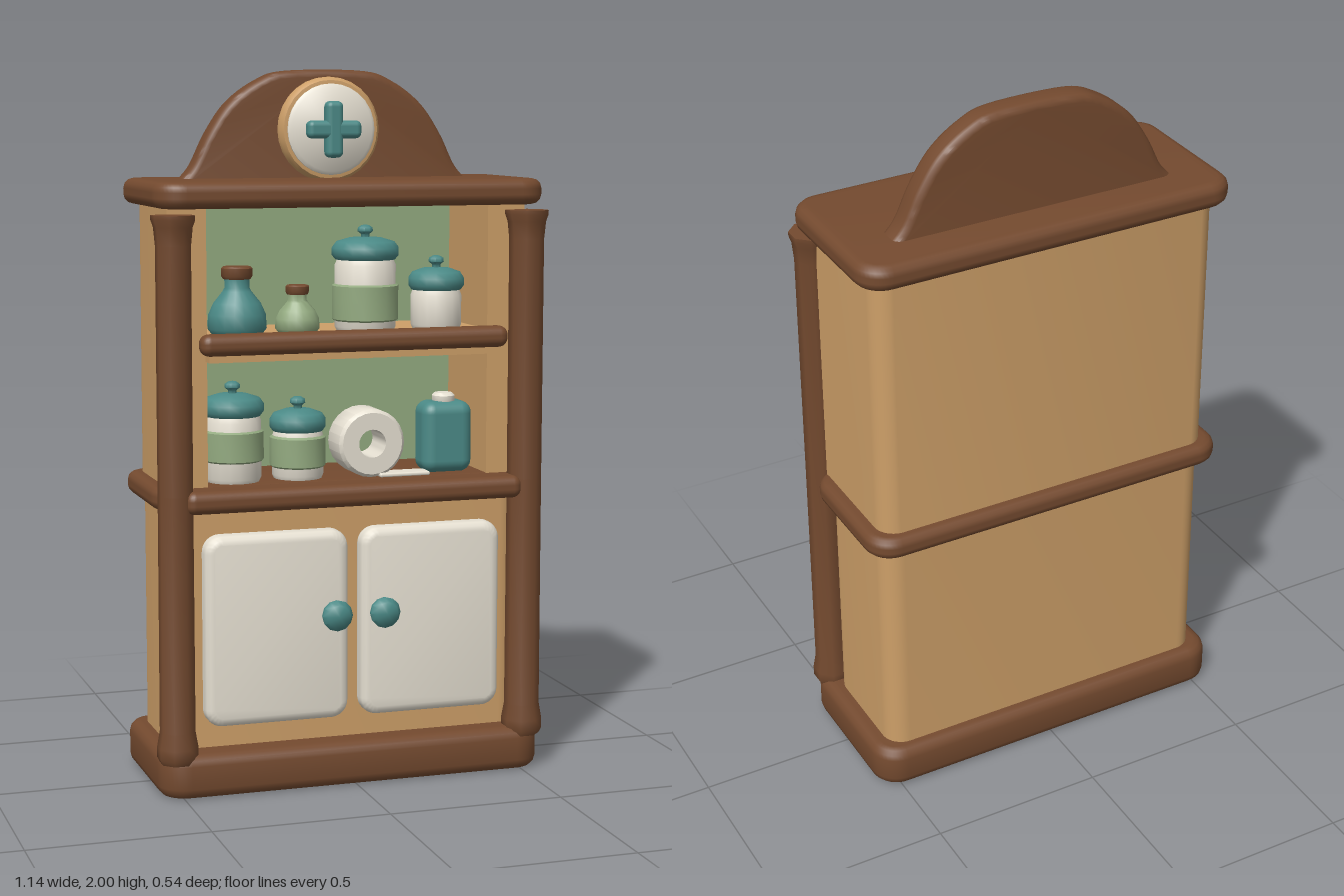
import * as THREE from 'three';
import { toCreasedNormals } from 'three/addons/utils/BufferGeometryUtils.js';
import { RoundedBoxGeometry } from 'three/addons/geometries/RoundedBoxGeometry.js';

const paint = (color) => new THREE.MeshStandardMaterial({ color });
const BROWN = paint(0x744a2f), TAN = paint(0xcd9f68), GREEN = paint(0x93aa80);
const TEAL = paint(0x4b8a87), CREAM = paint(0xe6e0d2);

function add(parent, name, geometry, material, x = 0, y = 0, z = 0) {
  const mesh = new THREE.Mesh(geometry, material);
  mesh.name = name;
  mesh.position.set(x, y, z);
  parent.add(mesh);
  return mesh;
}

function roundedRect(w, h, r) {
  const s = new THREE.Shape(), x = w / 2, y = h / 2;
  s.absarc(x - r, y - r, r, 0, Math.PI / 2);
  s.absarc(r - x, y - r, r, Math.PI / 2, Math.PI);
  s.absarc(r - x, r - y, r, Math.PI, Math.PI * 1.5);
  s.absarc(x - r, r - y, r, Math.PI * 1.5, Math.PI * 2);
  return s;
}

// Extrusion of total depth d along z, centred, with rounded edges
function bevelled(shape, d, b) {
  const g = new THREE.ExtrudeGeometry(shape, {
    depth: d - 2 * b, curveSegments: 5, bevelEnabled: b > 0,
    bevelThickness: b, bevelSize: b, bevelOffset: -b, bevelSegments: 3,
  });
  g.translate(0, 0, b - d / 2);
  return toCreasedNormals(g, 0.7);
}

const slab = (w, h, d, r, b) => bevelled(roundedRect(w, d, r), h, b).rotateX(-Math.PI / 2);

// Profile of [radius, height] pairs turned around y
function turned(points, sides = 18, crease = 0.75) {
  const g = new THREE.LatheGeometry(points.map(([r, y]) => new THREE.Vector2(r, y)), sides);
  return toCreasedNormals(g, crease);
}

// Jar with a domed, knobbed lid and an optional coloured band
function addJar(parent, x, y, z, r, h, band) {
  const jar = new THREE.Group();
  jar.name = 'jar';
  jar.position.set(x, y, z);
  add(jar, 'jarBody', turned([[0, 0], [r * 0.88, 0], [r * 0.95, 0.012], [r * 0.95, h - 0.02], [r * 0.85, h], [0, h]]), CREAM);
  if (band) {
    const [a, b] = band, R = r * 1.03;
    add(jar, 'jarBand', turned([[r * 0.9, a], [R, a + 0.008], [R, b - 0.008], [r * 0.9, b]]), GREEN);
  }
  add(jar, 'jarLid', turned([[0, -0.005], [r * 0.92, -0.005], [r * 1.04, 0.008], [r * 1.04, 0.028], [r * 0.9, 0.045],
    [r * 0.5, 0.056], [0.012, 0.058], [0.012, 0.066], [0.022, 0.074], [0.021, 0.084], [0.01, 0.091], [0, 0.092]], 18, 1), TEAL, 0, h, 0);
  parent.add(jar);
}

// Round-bellied bottle with a cork
function addBottle(parent, x, y, z, r, h, material) {
  const bottle = new THREE.Group();
  bottle.name = 'bottle';
  bottle.position.set(x, y, z);
  const n = r * 0.42;
  add(bottle, 'bottleBody', turned([[0, 0], [r * 0.85, 0], [r, h * 0.1], [r * 0.97, h * 0.35], [r * 0.8, h * 0.55],
    [n * 1.15, h * 0.76], [n, h * 0.82], [n, h], [0, h]], 18, 1), material);
  add(bottle, 'cork', turned([[0, 0], [n * 1.1, 0], [n * 1.25, 0.008], [n * 1.25, r * 0.36], [n * 1.1, r * 0.42], [0, r * 0.42]]), BROWN, 0, h - 0.004, 0);
  parent.add(bottle);
}

export function createModel() {
  const model = new THREE.Group();
  model.name = 'cabinet';

  // Base, waist and top boards
  add(model, 'base', slab(1.125, 0.125, 0.495, 0.08, 0.03), BROWN, 0, 0.0625, -0.023);
  add(model, 'waistBoard', slab(1.12, 0.064, 0.43, 0.08, 0.025), BROWN, 0, 0.83, -0.055);
  add(model, 'topBoard', slab(1.125, 0.072, 0.495, 0.08, 0.028), BROWN, 0, 1.664, -0.023);

  // Lower cupboard, solid behind its doors
  add(model, 'cupboard', slab(1.03, 0.72, 0.37, 0.06, 0), TAN, 0, 0.465, -0.045);

  // Upper case: U-shaped wall open to the front
  const wall = new THREE.Shape();
  wall.moveTo(-0.52, -0.14);
  wall.lineTo(-0.41, -0.14);
  wall.lineTo(-0.41, 0.19);
  wall.lineTo(0.41, 0.19);
  wall.lineTo(0.41, -0.14);
  wall.lineTo(0.52, -0.14);
  wall.absarc(0.46, 0.175, 0.06, 0, Math.PI / 2);
  wall.absarc(-0.46, 0.175, 0.06, Math.PI / 2, Math.PI);
  add(model, 'upperCase', bevelled(wall, 0.8, 0).rotateX(-Math.PI / 2), TAN, 0, 1.24, 0);
  add(model, 'backPanel', new THREE.BoxGeometry(0.83, 0.8, 0.02), GREEN, 0, 1.24, -0.18);

  // Shelf and rounded front rails
  add(model, 'shelf', new THREE.BoxGeometry(0.83, 0.065, 0.37), TAN, 0, 1.242, 0);
  add(model, 'shelfRail', new RoundedBoxGeometry(0.89, 0.06, 0.065, 3, 0.026), BROWN, 0, 1.26, 0.197);
  add(model, 'waistRail', new RoundedBoxGeometry(0.98, 0.064, 0.11, 3, 0.026), BROWN, 0, 0.83, 0.175);

  for (const s of [-1, 1]) {
    // Corner post with flared ends
    const post = turned([[0, 0.1], [0.05, 0.1], [0.058, 0.115], [0.058, 0.145], [0.05, 0.19], [0.049, 0.85], [0.049, 1.53],
      [0.054, 1.58], [0.061, 1.6], [0.061, 1.612], [0, 1.612]], 8, 0.9);
    post.rotateY(Math.PI / 8);
    add(model, 'cornerPost', post, BROWN, s * 0.512, 0, 0.178);

    // Door and knob
    add(model, 'door', bevelled(roundedRect(0.415, 0.54, 0.05), 0.07, 0.025), CREAM, s * 0.226, 0.462, 0.165);
    const knob = turned([[0, 0], [0.024, 0], [0.024, 0.035], [0.042, 0.045], [0.044, 0.058], [0.032, 0.074], [0, 0.078]], 12, 0.9);
    knob.rotateX(Math.PI / 2);
    add(model, 'doorKnob', knob, TEAL, s * 0.07, 0.5, 0.193);
  }

  // Arched crest
  const half = [[0.43, 1.69], [0.39, 1.735], [0.345, 1.825], [0.285, 1.91], [0.2, 1.972], [0.11, 2.0]];
  const arch = [...half, ...half.map(([x, y]) => [-x, y]).reverse()].map(([x, y]) => new THREE.Vector2(x, y));
  const crest = new THREE.Shape();
  crest.moveTo(-0.43, 1.66);
  crest.lineTo(0.43, 1.66);
  crest.lineTo(0.43, 1.69);
  crest.splineThru(arch.slice(1));
  add(model, 'crest', bevelled(crest, 0.082, 0.02), BROWN, 0, 0, -0.111);

  // Medallion with a cross
  const medallion = new THREE.Group();
  medallion.name = 'medallion';
  medallion.position.set(0, 1.836, -0.08);
  add(medallion, 'medallionRim', turned([[0, 0], [0.135, 0], [0.147, 0.012], [0.147, 0.034], [0.138, 0.046], [0.125, 0.048], [0, 0.048]], 28).rotateX(Math.PI / 2), TAN);
  add(medallion, 'medallionFace', turned([[0.128, 0.03], [0.128, 0.053], [0.118, 0.062], [0, 0.063]], 28).rotateX(Math.PI / 2), CREAM);
  add(medallion, 'crossUpright', new RoundedBoxGeometry(0.05, 0.158, 0.046, 3, 0.016), TEAL, 0, 0, 0.073);
  add(medallion, 'crossBar', new RoundedBoxGeometry(0.158, 0.05, 0.044, 3, 0.016), TEAL, 0, 0, 0.073);
  model.add(medallion);

  // Goods on the upper shelf
  const upper = 1.274, lower = 0.861, z = 0.05;
  addBottle(model, -0.3, upper, z, 0.083, 0.157, TEAL);
  addBottle(model, -0.125, upper, z, 0.063, 0.11, GREEN);
  addJar(model, 0.075, upper, z, 0.092, 0.205, [0.025, 0.135]);
  addJar(model, 0.288, upper, z, 0.077, 0.115, null);

  // Goods on the lower shelf
  addJar(model, -0.315, lower, z, 0.085, 0.19, [0.055, 0.15]);
  addJar(model, -0.125, lower, z, 0.077, 0.14, [0.03, 0.125]);

  // Bandage roll with a loose end
  const roll = turned([[0.04, -0.06], [0.088, -0.06], [0.097, -0.05], [0.097, 0.05], [0.088, 0.06], [0.04, 0.06], [0.04, -0.06]], 24);
  add(model, 'bandageRoll', roll.rotateX(Math.PI / 2), CREAM, 0.075, 0.958, 0.06);
  add(model, 'bandageEnd', new RoundedBoxGeometry(0.15, 0.012, 0.06, 2, 0.005), CREAM, 0.17, 0.867, 0.1);

  // Square flask with a cap
  add(model, 'flask', new RoundedBoxGeometry(0.15, 0.205, 0.11, 4, 0.035), TEAL, 0.312, 0.962, z);
  add(model, 'flaskCap', turned([[0, 0], [0.03, 0], [0.033, 0.008], [0.033, 0.022], [0.025, 0.03], [0, 0.03]]), CREAM, 0.312, 1.057, z);

  return model;
}
